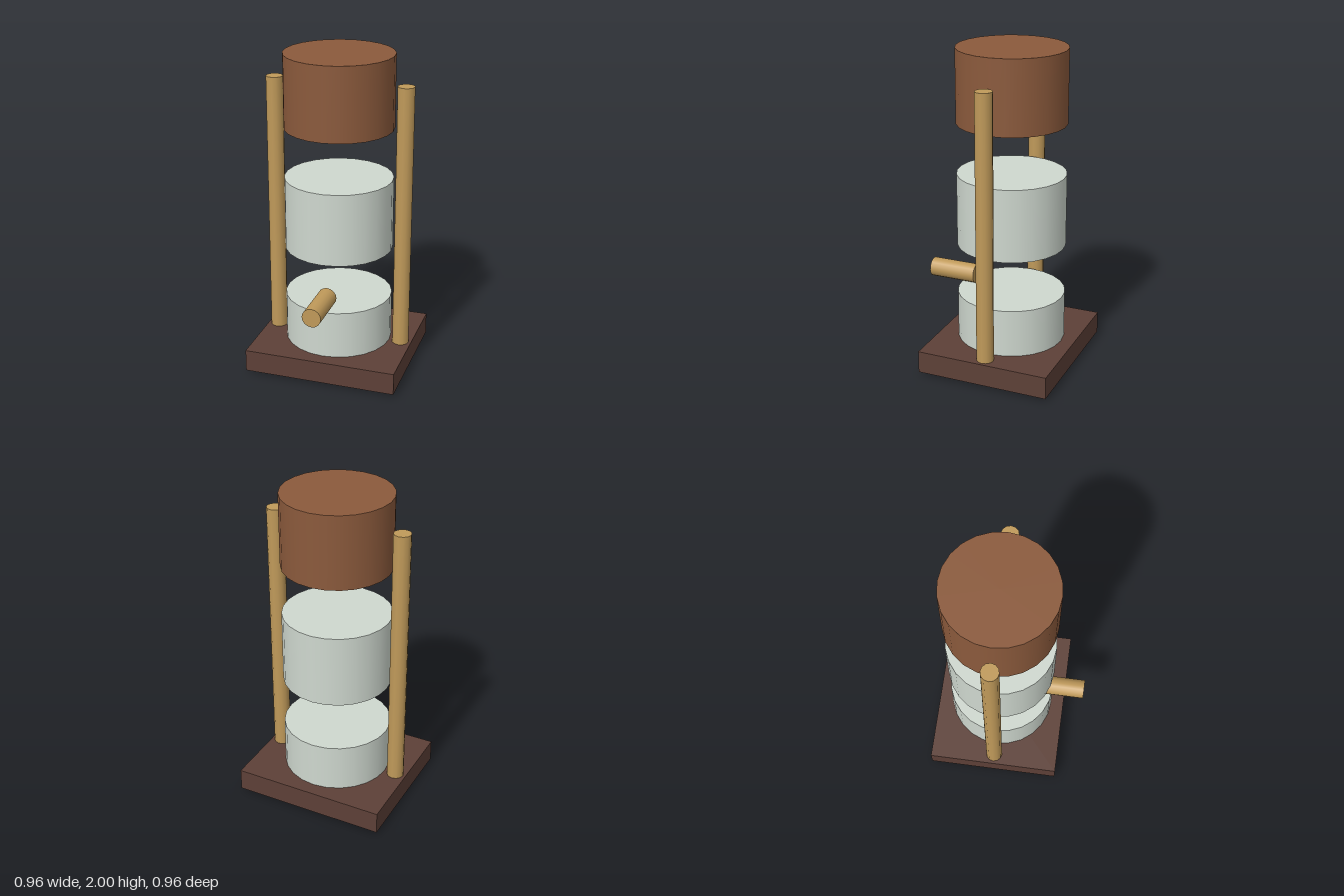
import * as THREE from 'three';

const AXIS_Z = -0.06; // drums and posts share this depth

const material = (color) => new THREE.MeshStandardMaterial({ color });

export function createModel() {
  const model = new THREE.Group();
  const darkWood = material(0x5d4037);
  const brown = material(0x8b5a3c);
  const lightWood = material(0xc09a5a);
  const paleGrey = material(0xcfd8cf);

  const add = (name, geometry, mat, x, y, z) => {
    const mesh = new THREE.Mesh(geometry, mat);
    mesh.name = name;
    mesh.position.set(x, y, z);
    model.add(mesh);
    return mesh;
  };

  // upright cylinder between two heights
  const upright = (name, radius, sides, bottom, top, x, mat) =>
    add(name, new THREE.CylinderGeometry(radius, radius, top - bottom, sides), mat,
      x, (bottom + top) / 2, AXIS_Z);

  // square base plate
  add('base', new THREE.BoxGeometry(0.96, 0.14, 0.84), darkWood, 0, 0.087, AXIS_Z);

  // three stacked drums with gaps between them; the lowest passes through the base
  upright('lowerDrum', 0.336, 24, 0, 0.458, 0, paleGrey);
  upright('middleDrum', 0.336, 24, 0.775, 1.23, 0, paleGrey);
  upright('topDrum', 0.336, 24, 1.545, 2, 0, brown);

  // side posts
  for (const [name, side] of [['leftPost', 1], ['rightPost', -1]]) {
    upright(name, 0.053, 12, 0.15, 1.828, side * 0.41, lightWood);
  }

  // spout pointing forward
  const spout = add('spout', new THREE.CylinderGeometry(0.06, 0.06, 0.3, 16), lightWood, 0, 0.52, 0.33);
  spout.rotation.x = Math.PI / 2;

  return model;
}
